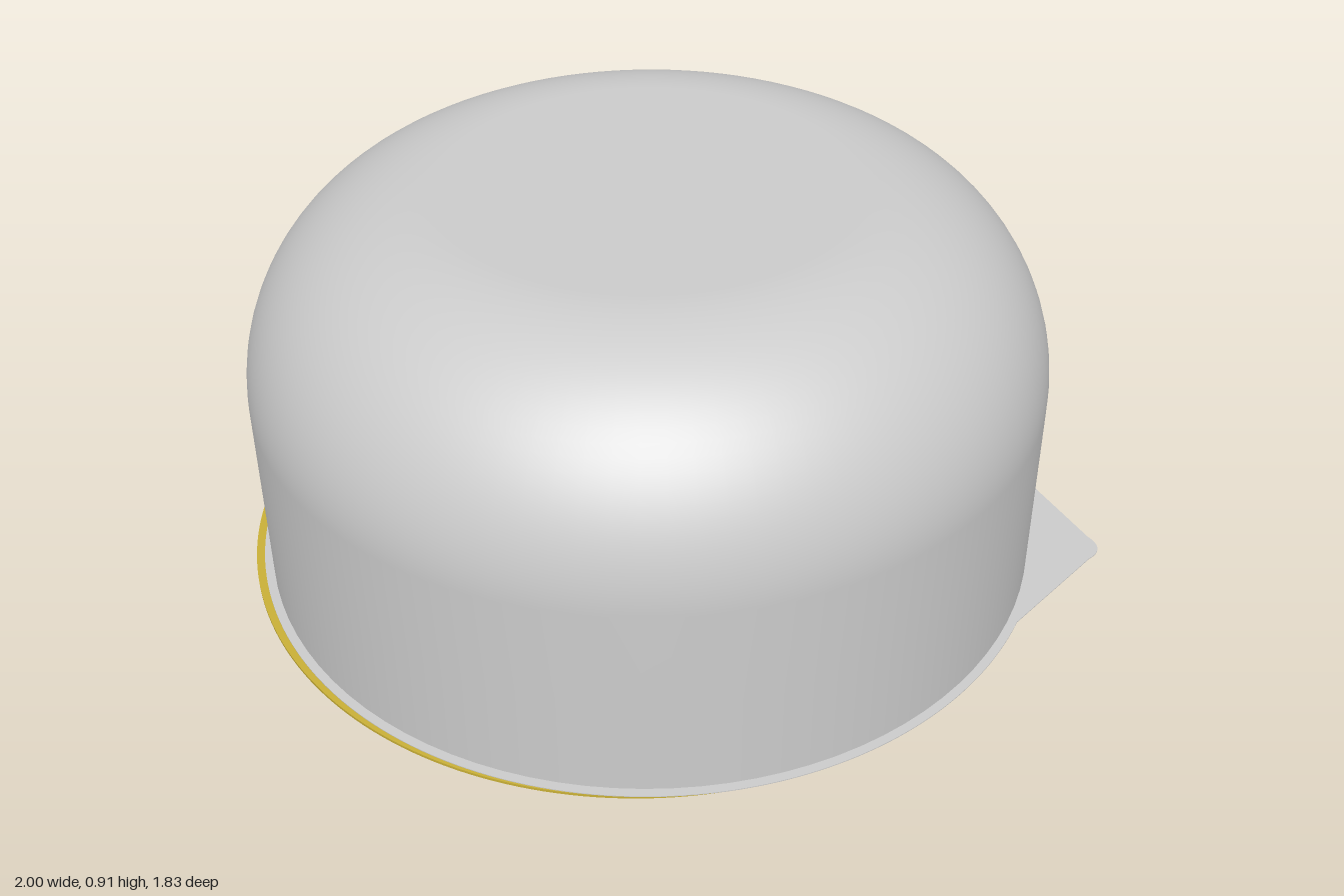
import * as THREE from 'three';

const CUP_X = -0.063;

// Round outline with a tapered pull tab pointing along +x
function tabOutline(hole) {
  const r = 0.917, a = 0.315;
  const s = new THREE.Shape();
  s.absarc(0, 0, r, a, Math.PI * 2 - a, false);
  s.lineTo(1.042, -0.04);
  s.quadraticCurveTo(1.063, -0.02, 1.063, 0);
  s.quadraticCurveTo(1.063, 0.02, 1.042, 0.04);
  s.closePath();
  const h = new THREE.Path();
  h.absarc(0, 0, hole, 0, Math.PI * 2, true);
  s.holes.push(h);
  return s;
}

function plate(hole, depth) {
  const g = new THREE.ExtrudeGeometry(tabOutline(hole), { depth, bevelEnabled: false, curveSegments: 96 });
  return g.rotateX(-Math.PI / 2);
}

export function createModel() {
  const group = new THREE.Group();
  const grey = new THREE.MeshStandardMaterial({ color: 0xcccccc, side: THREE.DoubleSide });
  const gold = new THREE.MeshStandardMaterial({ color: 0xc9b037, side: THREE.DoubleSide });
  const add = (name, geometry, material, x, y) => {
    const m = new THREE.Mesh(geometry, material);
    m.name = name;
    m.position.set(x, y, 0);
    group.add(m);
  };

  // Cup: straight wall, rounded shoulder, flat top
  const profile = [new THREE.Vector2(0.897, 0.01), new THREE.Vector2(0.897, 0.24)];
  for (let i = 0; i <= 24; i++) {
    const t = (i / 24) * Math.PI / 2;
    profile.push(new THREE.Vector2(0.457 + 0.44 * Math.cos(t), 0.47 + 0.44 * Math.sin(t)));
  }
  profile.push(new THREE.Vector2(0, 0.91));
  add('cup', new THREE.LatheGeometry(profile, 96), grey, CUP_X, 0);

  // Thin flange with its tab
  add('flange', plate(0.88, 0.002), grey, CUP_X, 0.008);

  // Foil lid, shifted slightly to the side, with a shallow sunken panel
  add('foilRim', plate(0.86, 0.006), gold, CUP_X - 0.02, 0.001);
  const panel = [[0, 0.016], [0.81, 0.016], [0.82, 0.014], [0.84, 0.004], [0.862, 0.001]];
  add('foilPanel', new THREE.LatheGeometry(panel.map(p => new THREE.Vector2(...p)), 96), gold, CUP_X - 0.02, 0);

  // Raised bead around the foil edge
  const bead = new THREE.TorusGeometry(0.9, 0.012, 8, 96).rotateX(Math.PI / 2).scale(1, 0.25, 1);
  add('foilBead', bead, gold, CUP_X - 0.02, 0.003);
  return group;
}
